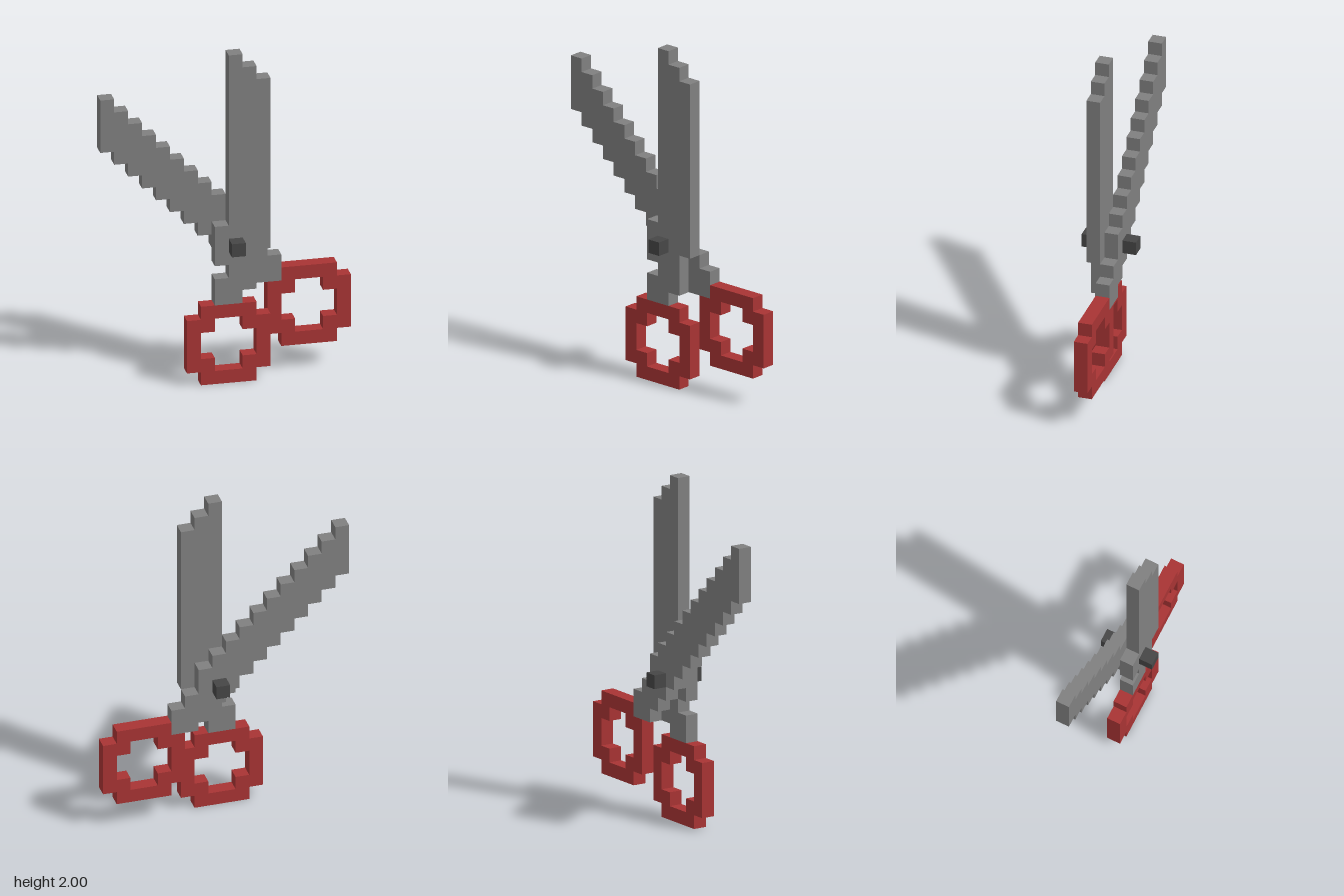
import * as THREE from 'three';

const U = 0.08; // size of one block

const steel = new THREE.MeshStandardMaterial({ color: 0x808080 });
steel.name = 'steel grey';
const red = new THREE.MeshStandardMaterial({ color: 0xa83434 });
red.name = 'handle red';
const dark = new THREE.MeshStandardMaterial({ color: 0x464646 });
dark.name = 'pivot dark grey';

const scaled = (points) => points.map(([x, y]) => new THREE.Vector2(x * U, y * U));

// One-block-thick plate from an outline in block units, starting at layer z
function plate(name, material, outline, z, hole) {
  const shape = new THREE.Shape(scaled(outline));
  if (hole) shape.holes.push(new THREE.Path(scaled(hole)));
  const geometry = new THREE.ExtrudeGeometry(shape, { depth: U, bevelEnabled: false });
  geometry.translate(0, 0, z * U);
  const mesh = new THREE.Mesh(geometry, material);
  mesh.name = name;
  return mesh;
}

// Square with one-block notched corners: half-size h around (cx, cy)
function notched(cx, cy, h) {
  const k = h - 1;
  return [[-k, -h], [k, -h], [k, -k], [h, -k], [h, k], [k, k],
    [k, h], [-k, h], [-k, k], [-h, k], [-h, -k], [-k, -k]].map(([x, y]) => [cx + x, cy + y]);
}

// Finger ring
const ring = (name, cx, cy, z) =>
  plate(name, red, notched(cx, cy, 3), z, notched(cx, cy, 2));

// Stepped outline from neighbouring columns of [bottom, top]
function columnsOutline(x0, columns) {
  const lower = [], upper = [];
  columns.forEach(([bottom, top], i) => {
    lower.push([x0 + i, bottom], [x0 + i + 1, bottom]);
    upper.push([x0 + i, top], [x0 + i + 1, top]);
  });
  const all = [...lower, ...upper.reverse()];
  return all.filter(([x, y], i) => i === 0 || x !== all[i - 1][0] || y !== all[i - 1][1]);
}

export function createModel() {
  const model = new THREE.Group();
  model.name = 'scissors';

  // Upright blade, front layer
  model.add(plate('uprightBlade', steel, [
    [-1, 6], [1, 6], [1, 7], [2, 7], [2, 10], [3, 10], [3, 23], [2, 23], [2, 24], [1, 24],
    [1, 25], [0, 25], [0, 12], [-1, 12], [-1, 9], [0, 9], [0, 8], [-1, 8],
  ], 0));

  // Slanted blade, back layer: each column sits one block lower than the last
  const columns = [];
  for (let i = 0; i < 11; i++) columns.push([18 - i, 22 - i]);
  columns.push([7, 10], [7, 9]);
  model.add(plate('slantedBlade', steel, columnsOutline(-9, columns), -1));

  // Handles
  model.add(ring('frontHandle', 0, 3, 0));
  model.add(ring('backHandle', 6, 5, -1));

  // Pivot pin, sticking out on both sides
  for (const [name, z] of [['pivotFront', 1.5], ['pivotBack', -1.5]]) {
    const pin = new THREE.Mesh(new THREE.BoxGeometry(U, U, U), dark);
    pin.position.set(0.5 * U, 10.5 * U, z * U);
    pin.name = name;
    model.add(pin);
  }
  return model;
}
